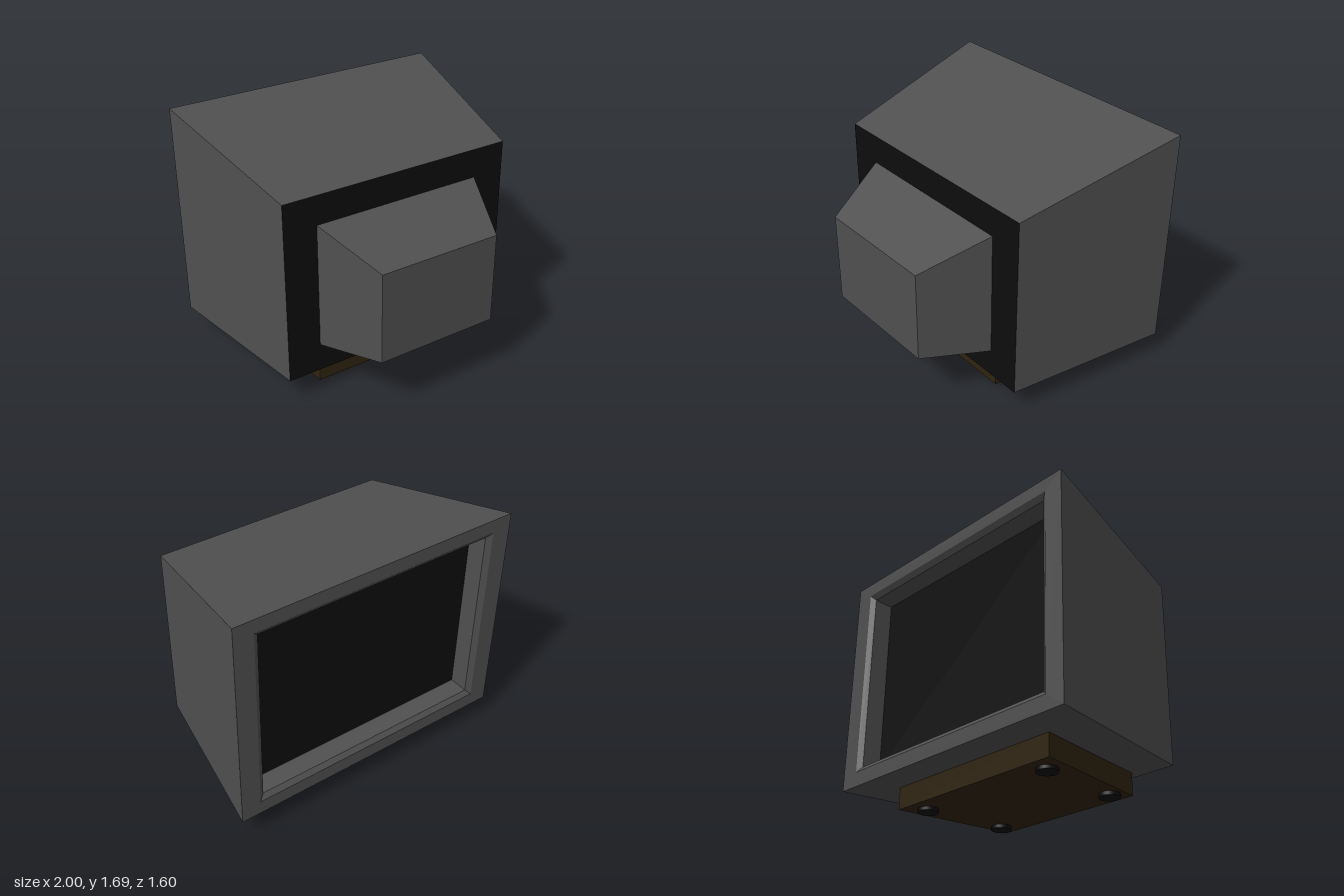
import * as THREE from 'three';

// Rectangular cross-section: half width, bottom, top, depth position
const ring = (w, y0, y1, z) => [[-w, y0, z], [w, y0, z], [w, y1, z], [-w, y1, z]];

// Flat-faced skin through rings ordered from +z to -z, with optional end caps
function loft(rings, { sides = true, front = false, back = false } = {}) {
  const pos = [];
  const quad = (a, b, c, d) => [a, b, c, a, c, d].forEach((p) => pos.push(...p));
  for (let r = 0; sides && r < rings.length - 1; r++) {
    const a = rings[r], b = rings[r + 1];
    for (let i = 0; i < 4; i++) {
      const j = (i + 1) % 4;
      quad(a[i], b[i], b[j], a[j]);
    }
  }
  if (front) quad(...rings[0]);
  if (back) quad(...[...rings[rings.length - 1]].reverse());
  const geo = new THREE.BufferGeometry();
  geo.setAttribute('position', new THREE.Float32BufferAttribute(pos, 3));
  geo.computeVertexNormals();
  return geo;
}

export function createModel() {
  const group = new THREE.Group();
  group.name = 'television';

  const material = (name, color) => {
    const m = new THREE.MeshStandardMaterial({ color });
    m.name = name;
    return m;
  };
  const grey = material('casing grey', 0x505050);
  const black = material('black', 0x0d0d0d);
  const brown = material('stand brown', 0x302410);

  const add = (name, geo, mat) => {
    const mesh = new THREE.Mesh(geo, mat);
    mesh.name = name;
    group.add(mesh);
    return mesh;
  };

  // Casing: tapered walls, screen border, bevelled lip and recess walls
  const panelRing = ring(0.83, 0.175, 1.44, 0.35);
  const screenRing = ring(0.82, 0.315, 1.55, -0.65);
  add('casing', loft([
    panelRing,
    ring(1, 0.17, 1.69, -0.8),
    ring(0.866, 0.27, 1.597, -0.8),
    ring(0.83, 0.305, 1.56, -0.775),
    screenRing,
  ]), grey);

  // Black end panel and sunken screen
  add('endPanel', loft([panelRing], { front: true }), black);
  add('screen', loft([screenRing], { back: true }), black);

  // Tapered tube housing
  add('tubeHousing', loft([
    ring(0.43, 0.435, 1.065, 0.8),
    ring(0.6, 0.37, 1.24, 0.35),
  ], { front: true }), grey);

  // Stand, wider under the screen
  add('stand', loft([
    ring(0.565, 0.025, 0.178, 0.275),
    ring(0.675, 0.022, 0.178, -0.58),
  ], { front: true, back: true }), brown);

  // Four round feet
  const footGeo = new THREE.CylinderGeometry(0.069, 0.069, 0.026, 24);
  for (const [x, z] of [[0.485, 0.147], [0.535, -0.45]]) {
    for (const side of [-1, 1]) {
      add('foot', footGeo, black).position.set(side * x, 0.013, z);
    }
  }
  return group;
}
